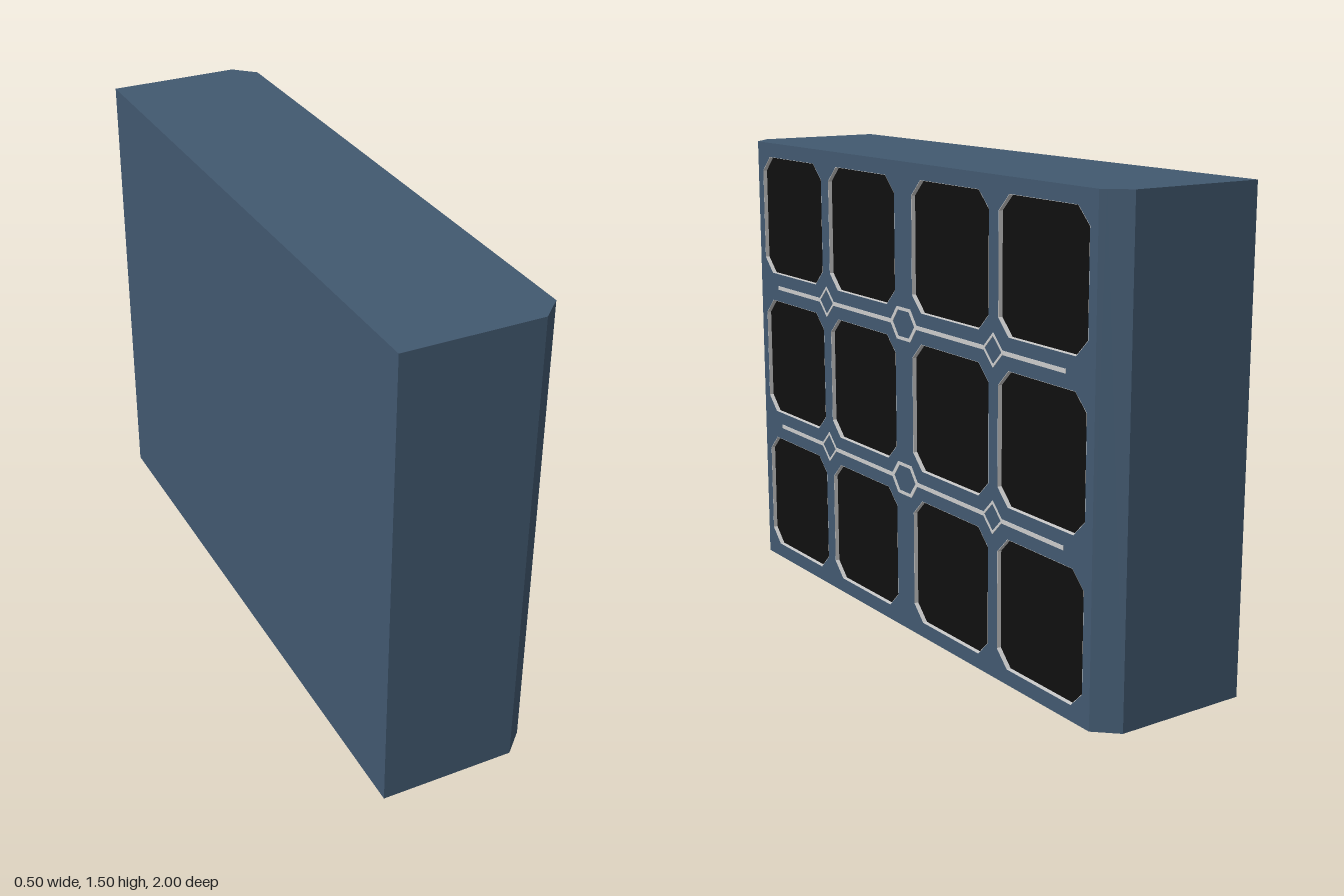
import * as THREE from 'three';

const FACE = 0.248, RECESS = 0.015, FLOOR = FACE - RECESS;
const HALF = 0.935;          // half width of the flat front face
const SLOPE = 0.065 / 0.068; // corner chamfer, z per x

const paint = (color) => new THREE.MeshStandardMaterial({ color, flatShading: true });
const pts = (list) => list.map(([a, b]) => new THREE.Vector2(a, b));

// Octagon: square with clipped corners
function octagon(cx, cy, r, c) {
  const k = r - c;
  return pts([[-k, -r], [k, -r], [r, -k], [r, k], [k, r], [-k, r], [-r, k], [-r, -k]]
    .map(([a, b]) => [cx + a, cy + b]));
}

// Extrude a shape drawn in the side plane outwards along +x
function sidePlate(shape, x, depth) {
  return new THREE.ExtrudeGeometry(shape, { depth, bevelEnabled: false })
    .rotateY(Math.PI / 2).translate(x, 0, 0);
}

function ring(outer, inner) {
  const s = new THREE.Shape(outer);
  s.holes.push(new THREE.Path(inner));
  return s;
}

export function createModel() {
  const group = new THREE.Group();
  const blue = paint(0x425970), black = paint(0x0f0f0f), grey = paint(0xcccccc);
  const add = (name, geometry, material) => {
    const m = new THREE.Mesh(geometry, material);
    m.name = name;
    group.add(m);
  };

  // Main block, up to the floor of the recesses
  const wide = HALF + RECESS * SLOPE;
  const profile = new THREE.Shape(pts([[-0.25, -1], [0.18, -1], [FLOOR, -wide],
    [FLOOR, wide], [0.18, 1], [-0.25, 1]]));
  add('body', new THREE.ExtrudeGeometry(profile, { depth: 1.5, bevelEnabled: false })
    .rotateX(-Math.PI / 2), blue);

  // Front plate with openings; its rear edge widens to continue the chamfer
  const face = new THREE.Shape(pts([[-HALF, 0], [HALF, 0], [HALF, 1.5], [-HALF, 1.5]]));
  const centres = [];
  for (const y of [0.25, 0.75, 1.25]) {
    for (const z of [-0.7, -0.25, 0.25, 0.7]) centres.push([z, y]);
  }
  for (const [z, y] of centres) face.holes.push(new THREE.Path(octagon(z, y, 0.202, 0.05)));
  const plate = sidePlate(face, FLOOR, RECESS);
  const p = plate.attributes.position;
  for (let i = 0; i < p.count; i++) {
    const z = p.getZ(i);
    if (Math.abs(z) > HALF - 0.01 && p.getX(i) < FACE - 0.005) p.setZ(i, Math.sign(z) * wide);
  }
  plate.computeVertexNormals();
  add('facePlate', plate, blue);

  // Dark panes with pale lining around each opening
  for (const [z, y] of centres) {
    add('pane', sidePlate(new THREE.Shape(octagon(z, y, 0.201, 0.05)), FLOOR, 0.001), black);
    add('reveal', sidePlate(ring(octagon(z, y, 0.202, 0.05), octagon(z, y, 0.201, 0.05)),
      FLOOR, RECESS), grey);
  }

  // Ornamental bands between the rows
  const low = FACE - 0.002, thick = 0.25 - low;
  const diamond = [[-0.05, 0], [0, -0.05], [0.05, 0], [0, 0.05]];
  const hexagon = [[-0.075, 0], [-0.037, -0.05], [0.037, -0.05], [0.075, 0], [0.037, 0.05], [-0.037, 0.05]];
  const outline = (list, z, y, s) => pts(list.map(([a, b]) => [z + a * s, y + b * s]));
  for (const y of [0.5, 1]) {
    for (const [name, list, z] of [['diamond', diamond, -0.475], ['hexagon', hexagon, 0], ['diamond', diamond, 0.475]]) {
      add(name, sidePlate(ring(outline(list, z, y, 1.03), outline(list, z, y, 0.83)), low, thick), grey);
    }
    for (const side of [-1, 1]) {
      for (const [a, b] of [[0.072, 0.428], [0.522, 0.81]]) {
        add('bar', new THREE.BoxGeometry(thick, 0.013, b - a)
          .translate(low + thick / 2, y, side * (a + b) / 2), grey);
      }
    }
  }
  return group;
}
